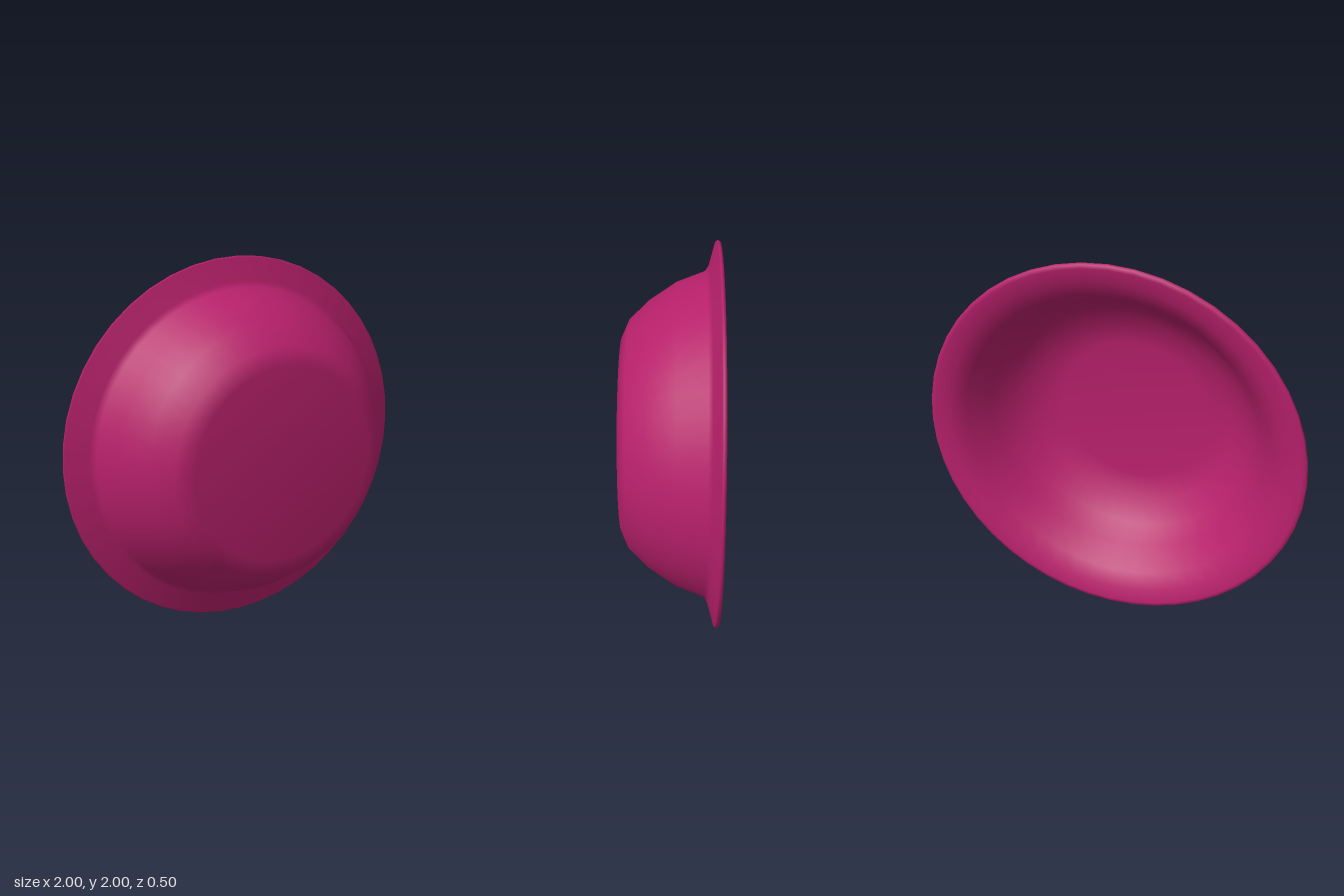
import * as THREE from 'three';
import { mergeVertices } from 'three/addons/utils/BufferGeometryUtils.js';

export function createModel() {
  const group = new THREE.Group();
  group.name = 'bowl';

  // [radius, z]: outside from the base centre to the rim, then back down the thick inside
  const profile = [
    [0, 0.25], [0.51, 0.25], [0.6, 0.21], [0.7, 0.105], [0.79, -0.03],
    [0.845, -0.175], [0.875, -0.195], [0.993, -0.227],
    [1, -0.236], [0.994, -0.249], [0.975, -0.25],
    [0.9, -0.235], [0.82, -0.185], [0.74, -0.055],
    [0.66, 0.05], [0.55, 0.135], [0.41, 0.175], [0, 0.175],
  ].map(([r, z]) => new THREE.Vector2(r, -z));

  // Turned shell, tipped so the base faces the front and the opening faces back
  const turned = new THREE.LatheGeometry(profile, 48);
  turned.rotateX(-Math.PI / 2);

  // Area-weighted smooth normals keep the base and floor flat up to their edges
  turned.deleteAttribute('uv');
  turned.deleteAttribute('normal');
  const shell = mergeVertices(turned);
  shell.computeVertexNormals();

  const bowl = new THREE.Mesh(shell, new THREE.MeshStandardMaterial({ color: 0xb6206a }));
  bowl.name = 'bowlShell';
  bowl.position.y = 1;
  group.add(bowl);
  return group;
}
